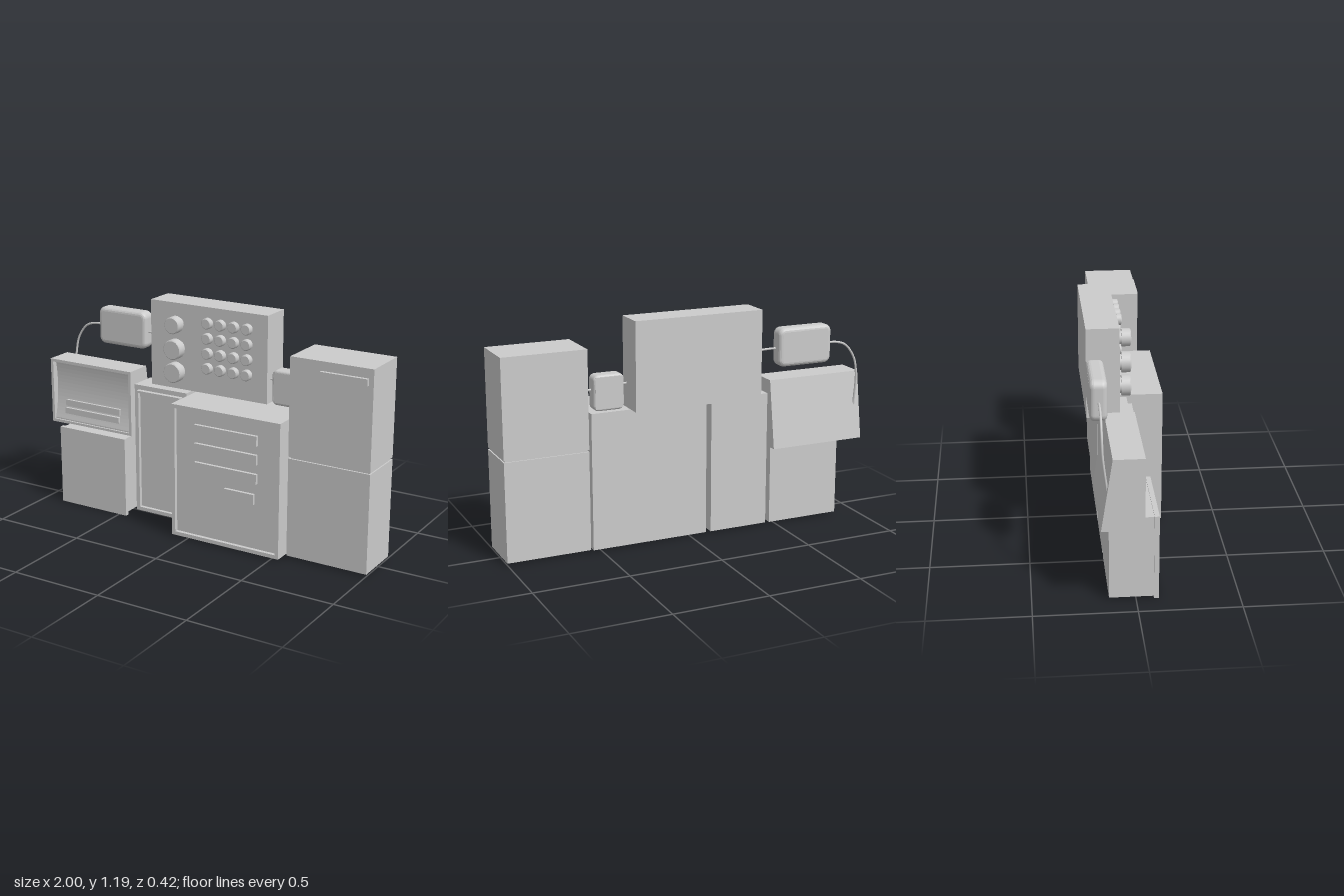
import * as THREE from 'three';

const mat = new THREE.MeshStandardMaterial({ color: 0xcccccc });

function add(parent, name, geo) {
  const m = new THREE.Mesh(geo, mat);
  m.name = name;
  parent.add(m);
  return m;
}

// Box given by its limits on each axis
function box(parent, name, x0, x1, y0, y1, z0, z1) {
  const m = add(parent, name, new THREE.BoxGeometry(x1 - x0, y1 - y0, z1 - z0));
  m.position.set((x0 + x1) / 2, (y0 + y1) / 2, (z0 + z1) / 2);
  return m;
}

// Rectangle outline with optional corner radius
function rect(path, x0, x1, y0, y1, r = 0) {
  if (!r) {
    path.moveTo(x0, y0); path.lineTo(x1, y0); path.lineTo(x1, y1); path.lineTo(x0, y1);
  } else {
    path.moveTo(x0 + r, y0); path.lineTo(x1 - r, y0);
    path.absarc(x1 - r, y0 + r, r, -Math.PI / 2, 0);
    path.absarc(x1 - r, y1 - r, r, 0, Math.PI / 2);
    path.absarc(x0 + r, y1 - r, r, Math.PI / 2, Math.PI);
    path.absarc(x0 + r, y0 + r, r, Math.PI, Math.PI * 1.5);
  }
  path.closePath();
  return path;
}

// Rectangular frame with border width t
function frame(parent, name, x0, x1, y0, y1, z0, z1, t) {
  const s = rect(new THREE.Shape(), x0, x1, y0, y1);
  s.holes.push(rect(new THREE.Path(), x0 + t, x1 - t, y0 + t, y1 - t));
  const geo = new THREE.ExtrudeGeometry(s, { depth: z1 - z0, bevelEnabled: false });
  add(parent, name, geo).position.z = z0;
}

// Soft-edged little display with a recessed square screen
function display(parent, name, [x0, x1, y0, y1, z0, z1], [hx0, hx1, hy0, hy1], b, recess) {
  const g = new THREE.Group();
  g.name = name;
  parent.add(g);
  const s = rect(new THREE.Shape(), x0 + b, x1 - b, y0 + b, y1 - b, 0.015);
  const e = 0.002;
  s.holes.push(rect(new THREE.Path(), hx0 - b, hx1 + b, hy0 - b, hy1 + b));
  const geo = new THREE.ExtrudeGeometry(s, {
    depth: z1 - z0 - 2 * b, bevelEnabled: true, bevelSize: b, bevelThickness: b,
    bevelSegments: 4, curveSegments: 6,
  });
  add(g, 'displayCase', geo).position.z = z0 + b;
  box(g, 'displayScreen', hx0 - b - e, hx1 + b + e, hy0 - b - e, hy1 + b + e, z0, z0 + b + 0.005);
  box(g, 'screenGlass', hx0 - e, hx1 + e, hy0 - e, hy1 + e, z0 + 0.01, z1 - recess);
}

function cable(parent, name, pts, r = 0.006) {
  const curve = new THREE.CatmullRomCurve3(pts.map((p) => new THREE.Vector3(...p)));
  add(parent, name, new THREE.TubeGeometry(curve, 28, r, 8));
}

// Knob with a narrow neck and a wide cap
function knob(parent, name, x, y, z0, z1, r) {
  const d = z1 - z0, c = d * 0.32;
  const pts = [[r * 0.75, -0.005], [r * 0.75, c], [r, c], [r, d - 0.005], [r - 0.005, d], [0, d]];
  // doubled points keep the rims crisp
  const profile = pts.flatMap(([a, h]) => [new THREE.Vector2(a, h), new THREE.Vector2(a, h)]);
  const m = add(parent, name, new THREE.LatheGeometry(profile, 24));
  m.rotation.x = Math.PI / 2;
  m.position.set(x, y, z0);
}

export function createModel() {
  const root = new THREE.Group();
  root.name = 'equipmentBank';
  const group = (name) => {
    const g = new THREE.Group();
    g.name = name;
    root.add(g);
    return g;
  };

  // Tall two-part cabinet
  const tall = group('tallCabinet');
  box(tall, 'lowerCabinet', 0.555, 1, 0.015, 0.538, -0.12, 0.14);
  box(tall, 'cabinetSeam', 0.562, 0.993, 0.53, 0.556, -0.113, 0.13);
  box(tall, 'upperCabinet', 0.555, 1, 0.548, 1.063, -0.12, 0.14);
  box(tall, 'cabinetHandle', 0.725, 0.975, 0.98, 1.015, 0.135, 0.158);

  // Large central cabinet with slotted face
  const main = group('centralCabinet');
  box(main, 'centralBody', -0.09, 0.545, 0.015, 0.735, -0.13, 0.19);
  frame(main, 'centralFrame', -0.09, 0.545, 0.015, 0.735, 0.19, 0.21, 0.02);
  for (const y of [0.39, 0.492, 0.592]) box(main, 'slotBar', 0.045, 0.41, y, y + 0.053, 0.185, 0.207);
  box(main, 'smallSlotBar', 0.225, 0.395, 0.277, 0.333, 0.185, 0.207);

  // Narrow cabinet with a raised door frame
  const narrow = group('narrowCabinet');
  box(narrow, 'narrowBody', -0.445, -0.118, 0.015, 0.735, -0.13, 0.02);
  frame(narrow, 'narrowDoorFrame', -0.418, -0.143, 0.035, 0.71, 0.02, 0.045, 0.012);
  box(narrow, 'narrowDoorPanel', -0.406, -0.155, 0.047, 0.698, 0.015, 0.026);

  // Low cabinet under the monitor
  const low = group('lowCabinet');
  box(low, 'lowBody', -0.878, -0.468, 0.014, 0.44, -0.13, 0.086);
  box(low, 'lowDoor', -0.886, -0.455, 0.005, 0.445, 0.086, 0.11);

  // Monitor: side profile with slanted back and hollow screen
  const monitor = group('monitor');
  const side = new THREE.Shape();
  side.moveTo(0.02, 0.437);
  side.lineTo(0.02, 0.46);
  side.quadraticCurveTo(-0.025, 0.62, 0.005, 0.785);
  side.lineTo(0.02, 0.8);
  side.lineTo(-0.12, 0.8);
  side.lineTo(-0.175, 0.437);
  side.closePath();
  const shell = add(monitor, 'monitorShell',
    new THREE.ExtrudeGeometry(side, { depth: 0.535, bevelEnabled: false, curveSegments: 16 }));
  shell.rotation.y = -Math.PI / 2;
  shell.scale.z = 1;
  // profile x becomes z, extrusion runs towards -x
  shell.rotation.y = -Math.PI / 2;
  shell.geometry.applyMatrix4(new THREE.Matrix4().makeTranslation(0, 0, 0));
  shell.position.x = -0.465;
  frame(monitor, 'monitorFrame', -1, -0.465, 0.437, 0.8, -0.01, 0.03, 0.016);
  box(monitor, 'upperScreenBar', -0.917, -0.555, 0.535, 0.57, -0.03, 0.012);
  box(monitor, 'lowerScreenBar', -0.917, -0.555, 0.492, 0.525, -0.02, 0.02);

  // Control panel with dials and buttons
  const panel = group('controlPanel');
  box(panel, 'panelBody', -0.37, 0.333, 0.735, 1.198, -0.2, -0.035);
  for (const [y, r] of [[1.09, 0.045], [0.96, 0.053], [0.835, 0.053]])
    knob(panel, 'dial', -0.2, y, -0.035, 0.033, r);
  for (let i = 0; i < 4; i++)
    for (let j = 0; j < 4; j++)
      knob(panel, 'button', -0.01 + i * 0.078, 0.878 + j * 0.08, -0.035, 0.004, 0.029);

  // Small displays and their cables
  display(root, 'leftDisplay', [-0.78, -0.47, 0.885, 1.09, -0.208, -0.125],
    [-0.73, -0.62, 0.93, 1.045], 0.022, 0.035);
  display(root, 'rightDisplay', [0.358, 0.522, 0.737, 0.922, -0.112, -0.036],
    [0.382, 0.496, 0.765, 0.895], 0.014, 0.03);
  cable(root, 'monitorCable', [[-0.968, 0.62, -0.142], [-0.965, 0.8, -0.163], [-0.945, 0.89, -0.165],
    [-0.89, 0.962, -0.165], [-0.83, 0.982, -0.165], [-0.77, 0.983, -0.165]]);
  cable(root, 'panelCable', [[-0.48, 0.98, -0.16], [-0.42, 0.98, -0.16], [-0.36, 0.976, -0.158]]);
  cable(root, 'displayCable', [[0.325, 0.86, -0.075], [0.365, 0.86, -0.075]]);
  cable(root, 'cabinetCable', [[0.515, 0.843, -0.07], [0.56, 0.843, -0.07]]);

  return root;
}
